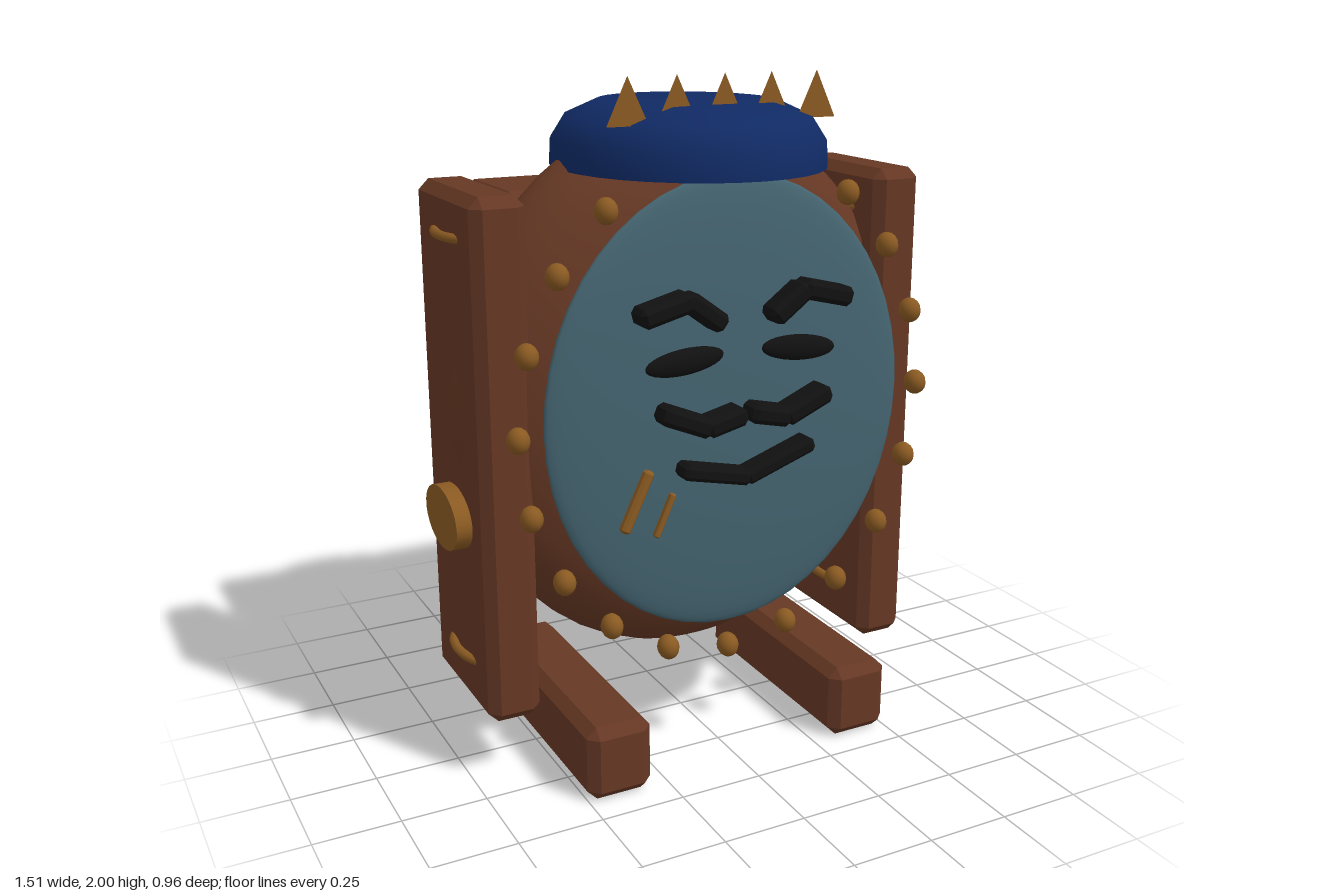
import * as THREE from 'three';
import { ConvexGeometry } from 'three/addons/geometries/ConvexGeometry.js';

const paint = (name, color, extra = {}) => {
  const m = new THREE.MeshStandardMaterial({ color, ...extra });
  m.name = name;
  return m;
};

// Box with every edge cut by a flat chamfer of width b
function chamferBox(w, h, d, b) {
  const x = w / 2, y = h / 2, z = d / 2, pts = [];
  for (const i of [-1, 1]) for (const j of [-1, 1]) for (const k of [-1, 1]) {
    pts.push(
      new THREE.Vector3(i * x, j * (y - b), k * (z - b)),
      new THREE.Vector3(i * (x - b), j * y, k * (z - b)),
      new THREE.Vector3(i * (x - b), j * (y - b), k * z));
  }
  return new ConvexGeometry(pts);
}

export function createModel() {
  const model = new THREE.Group();
  model.name = 'barrelFigure';
  const wood = paint('wood', 0x663824);
  const bronze = paint('bronze', 0x8a5a22, { side: THREE.DoubleSide });
  const teal = paint('teal', 0x446470);
  const navy = paint('navy', 0x102a64);
  const black = paint('black', 0x111111);

  const add = (name, geometry, material, x, y, z) => {
    const mesh = new THREE.Mesh(geometry, material);
    mesh.name = name;
    mesh.position.set(x, y, z);
    model.add(mesh);
    return mesh;
  };
  const ellipsoid = (name, material, x, y, z, rx, ry, rz, seg = 40) =>
    add(name, new THREE.SphereGeometry(1, seg, Math.round(seg * 0.6)).scale(rx, ry, rz), material, x, y, z);

  // Round body, face plate and the chest on the back
  ellipsoid('body', wood, 0, 1.07, 0.005, 0.722, 0.815, 0.3);
  ellipsoid('facePlate', teal, 0, 1.08, 0.303, 0.567, 0.66, 0.052);
  add('backBox', chamferBox(1, 1.23, 0.355, 0.03), wood, 0, 1.045, -0.3025);

  // Ring of studs around the face
  for (let i = 0; i < 20; i++) {
    const a = i * Math.PI / 10;
    ellipsoid('stud', bronze, 0.64 * Math.cos(a), 1.07 + 0.73 * Math.sin(a), 0.305, 0.032, 0.037, 0.037, 14);
  }

  // Side boards, knobs, rings and feet
  for (const s of [-1, 1]) {
    const side = s > 0 ? 'left' : 'right';
    add(side + 'Board', chamferBox(0.157, 1.51, 0.475, 0.03), wood, s * 0.63, 0.945, -0.035);
    add(side + 'Foot', chamferBox(0.197, 0.225, 0.775, 0.03), wood, s * 0.402, 0.1125, 0.037);
    const knob = new THREE.CylinderGeometry(1, 1, 0.12, 32).rotateZ(Math.PI / 2).scale(1, 0.091, 0.138);
    add(side + 'Knob', knob, bronze, s * 0.695, 0.76, -0.035);
    for (const y of [0.34, 1.575]) {
      const ring = new THREE.TorusGeometry(0.094, 0.014, 8, 32).rotateX(Math.PI / 2).scale(1, 1, 1.55);
      add(side + 'Ring', ring, bronze, s * 0.63, y, -0.03);
    }
  }

  // Flat-topped oval cap
  const profile = [[0, 1.735], [1, 1.735], [1, 1.735], [0.99, 1.808], [0.885, 1.873], [0.65, 1.915], [0, 1.923]]
    .map(([r, y]) => new THREE.Vector2(r, y));
  const capTop = new THREE.LatheGeometry(profile.slice(2), 32).scale(0.385, 1, 0.44);
  add('cap', capTop, navy, 0, 0, 0.038);
  const capBase = new THREE.LatheGeometry(profile.slice(0, 2), 32).scale(0.385, 1, 0.44);
  add('capUnderside', capBase, navy, 0, 0, 0.038);

  // Row of flat spikes along the cap
  const spike = new THREE.ShapeGeometry(new THREE.Shape([
    new THREE.Vector2(-0.062, -0.13), new THREE.Vector2(0.062, -0.13), new THREE.Vector2(0, 0)]));
  for (let i = -2; i <= 2; i++) add('spike', spike, bronze, i * 0.145, 2, 0.26);

  // Bars along a bent line, used for brows, moustache and mouth
  const bentBar = (name, pts, t, depth, z, material) => {
    for (let i = 0; i + 1 < pts.length; i++) {
      const [ax, ay] = pts[i], [bx, by] = pts[i + 1];
      const length = Math.hypot(bx - ax, by - ay) + t * 0.35;
      const bar = add(name, chamferBox(length, t, depth, t * 0.25), material, (ax + bx) / 2, (ay + by) / 2, z);
      bar.rotation.z = Math.atan2(by - ay, bx - ax);
    }
  };
  for (const s of [-1, 1]) {
    const mirror = pts => pts.map(([x, y]) => [s * x, y]);
    bentBar('brow', mirror([[0.32, 1.385], [0.18, 1.42], [0.085, 1.35]]), 0.056, 0.085, 0.388, black);
    bentBar('moustache', mirror([[0.255, 1.115], [0.125, 1.06], [0.018, 1.085]]), 0.056, 0.085, 0.392, black);
    const eye = ellipsoid('eye', black, s * 0.18, 1.247, 0.374, 0.12, 0.037, 0.022, 24);
    eye.rotation.z = -s * 0.09;
  }
  bentBar('mouth', [[-0.195, 0.945], [0, 0.9], [0.205, 0.97]], 0.045, 0.075, 0.392, black);

  // Two small rods on the right cheek
  bentBar('cheekRod', [[-0.293, 0.95], [-0.368, 0.792]], 0.03, 0.03, 0.38, bronze);
  bentBar('cheekRod', [[-0.22, 0.875], [-0.272, 0.76]], 0.017, 0.022, 0.38, bronze);

  return model;
}
